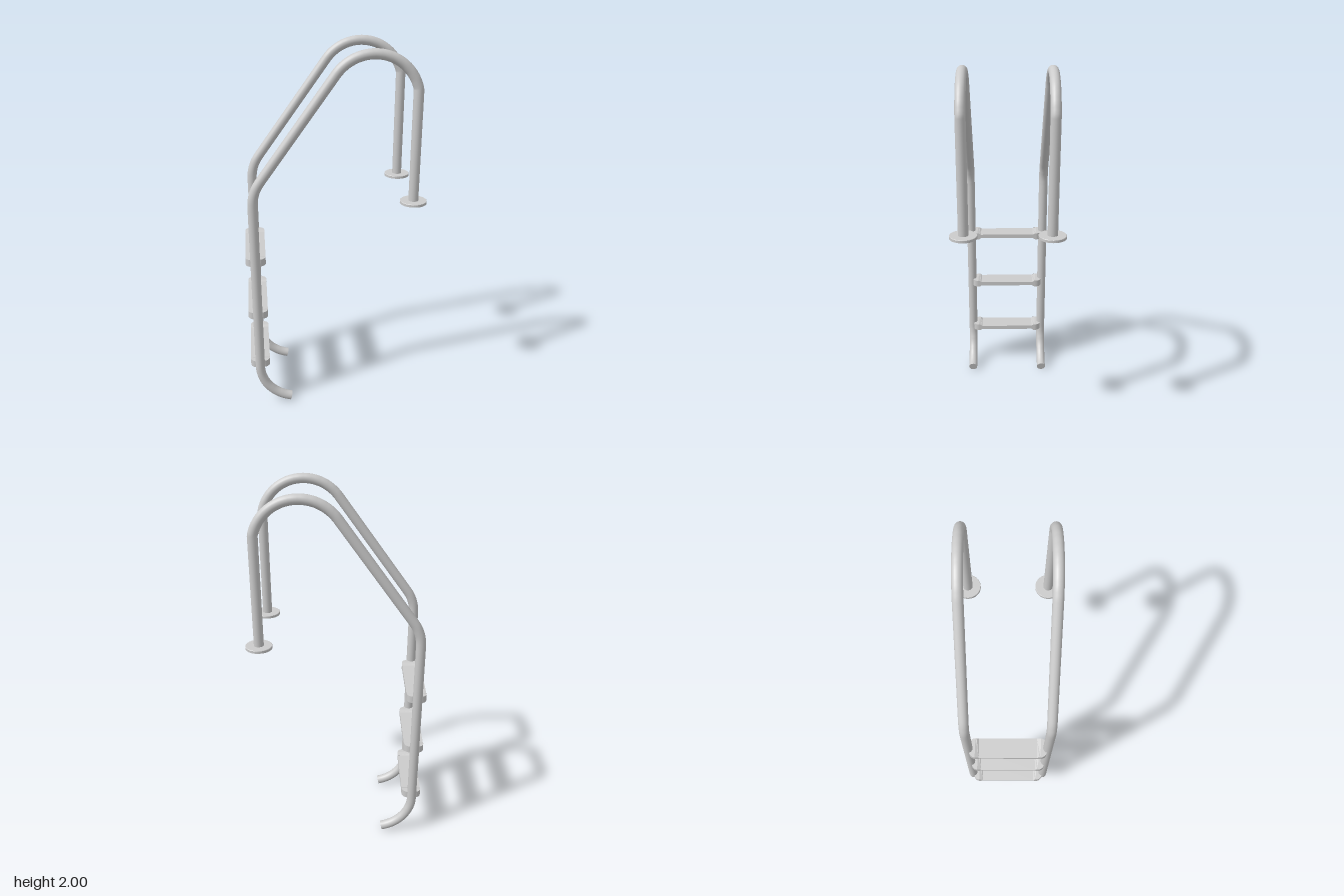
import * as THREE from 'three';

const steel = new THREE.MeshStandardMaterial({ color: 0xcccccc, side: THREE.DoubleSide });
const RAIL_Z = 0.22, PIPE = 0.026, POLE_X = -0.428, LEG_X = 0.408, BASE_Y = 1.203;

function add(parent, name, geometry, x = 0, y = 0, z = 0) {
  const mesh = new THREE.Mesh(geometry, steel);
  mesh.name = name;
  mesh.position.set(x, y, z);
  parent.add(mesh);
  return mesh;
}

// Points along an arc in the xy plane, angles in degrees
function arc(cx, cy, r, from, to, n) {
  return Array.from({ length: n + 1 }, (_, i) => {
    const a = THREE.MathUtils.degToRad(from + ((to - from) * i) / n);
    return new THREE.Vector3(cx + r * Math.cos(a), cy + r * Math.sin(a), 0);
  });
}

// Centre line of a rail: curved foot, pole, slanted handrail, top bow, short leg
function railPath() {
  const v = (x, y) => new THREE.Vector3(x, y, 0);
  const bend = new THREE.QuadraticBezierCurve3(v(POLE_X, 1.215), v(POLE_X, 1.291), v(-0.383, 1.351));
  const points = [
    ...arc(POLE_X + 0.216, 0.237, 0.216, 258, 180, 16),
    ...bend.getPoints(8),
    ...arc(0.185, 1.744, 0.23, 142, 14.1, 24),
    v(LEG_X, BASE_Y),
  ];
  const path = new THREE.CurvePath();
  for (let i = 1; i < points.length; i++) path.add(new THREE.LineCurve3(points[i - 1], points[i]));
  return path;
}

// Rounded end bracket of a step, its inner edge thinned to meet the tread
function bracketGeometry() {
  const w = 0.054, inner = 0.16, outer = 0.215, r = 0.036, h = 0.04;
  const s = new THREE.Shape();
  s.moveTo(-w, inner);
  s.lineTo(w, inner);
  s.lineTo(w, 0.173);
  s.lineTo(w, outer - r);
  s.absarc(w - r, outer - r, r, 0, Math.PI / 2, false);
  s.absarc(-w + r, outer - r, r, Math.PI / 2, Math.PI, false);
  s.lineTo(-w, 0.173);
  const g = new THREE.ExtrudeGeometry(s, { depth: h, bevelEnabled: false, curveSegments: 8 });
  g.translate(0, 0, -h / 2).rotateX(Math.PI / 2);
  const p = g.attributes.position;
  for (let i = 0; i < p.count; i++) if (p.getZ(i) < 0.165) p.setY(i, p.getY(i) * 0.58);
  g.computeVertexNormals();
  return g;
}

export function createModel() {
  const model = new THREE.Group();
  model.name = 'poolLadder';

  const path = railPath();
  const tube = new THREE.TubeGeometry(path, 220, PIPE, 20, false);
  const start = path.getPointAt(0);
  const outward = path.getTangentAt(0).negate();

  // Floor flange: a thin cap, open beneath
  const flangeProfile = [[PIPE, 0.015], [0.068, 0.015], [0.07, 0.013], [0.07, 0], [0.064, 0], [0.064, 0.009], [PIPE, 0.009]]
    .map(([r, y]) => new THREE.Vector2(r, y));
  const flange = new THREE.LatheGeometry(flangeProfile, 40).toNonIndexed();
  flange.computeVertexNormals();

  // Two matching rails
  for (const side of [1, -1]) {
    const rail = new THREE.Group();
    rail.name = side > 0 ? 'frontRail' : 'backRail';
    rail.position.z = side * RAIL_Z;
    add(rail, 'railTube', tube);
    const cap = add(rail, 'footCap', new THREE.CircleGeometry(PIPE, 20), start.x, start.y, start.z);
    cap.quaternion.setFromUnitVectors(new THREE.Vector3(0, 0, 1), outward);
    add(rail, 'flange', flange, LEG_X, BASE_Y, 0);
    model.add(rail);
  }

  // Three steps: hollow tread with side skirts and an end bracket on each side
  const bracket = bracketGeometry();
  [0.25, 0.567, 0.891].forEach((y, i) => {
    const step = new THREE.Group();
    step.name = `step${i + 1}`;
    step.position.set(-0.426, y, 0);
    add(step, 'tread', new THREE.BoxGeometry(0.108, 0.006, 0.33), 0, 0.0085, 0);
    for (const side of [1, -1]) {
      add(step, 'treadSkirt', new THREE.BoxGeometry(0.006, 0.023, 0.33), side * 0.051, 0, 0);
      const end = add(step, 'endBracket', bracket);
      if (side < 0) end.rotation.y = Math.PI;
    }
    model.add(step);
  });

  return model;
}
